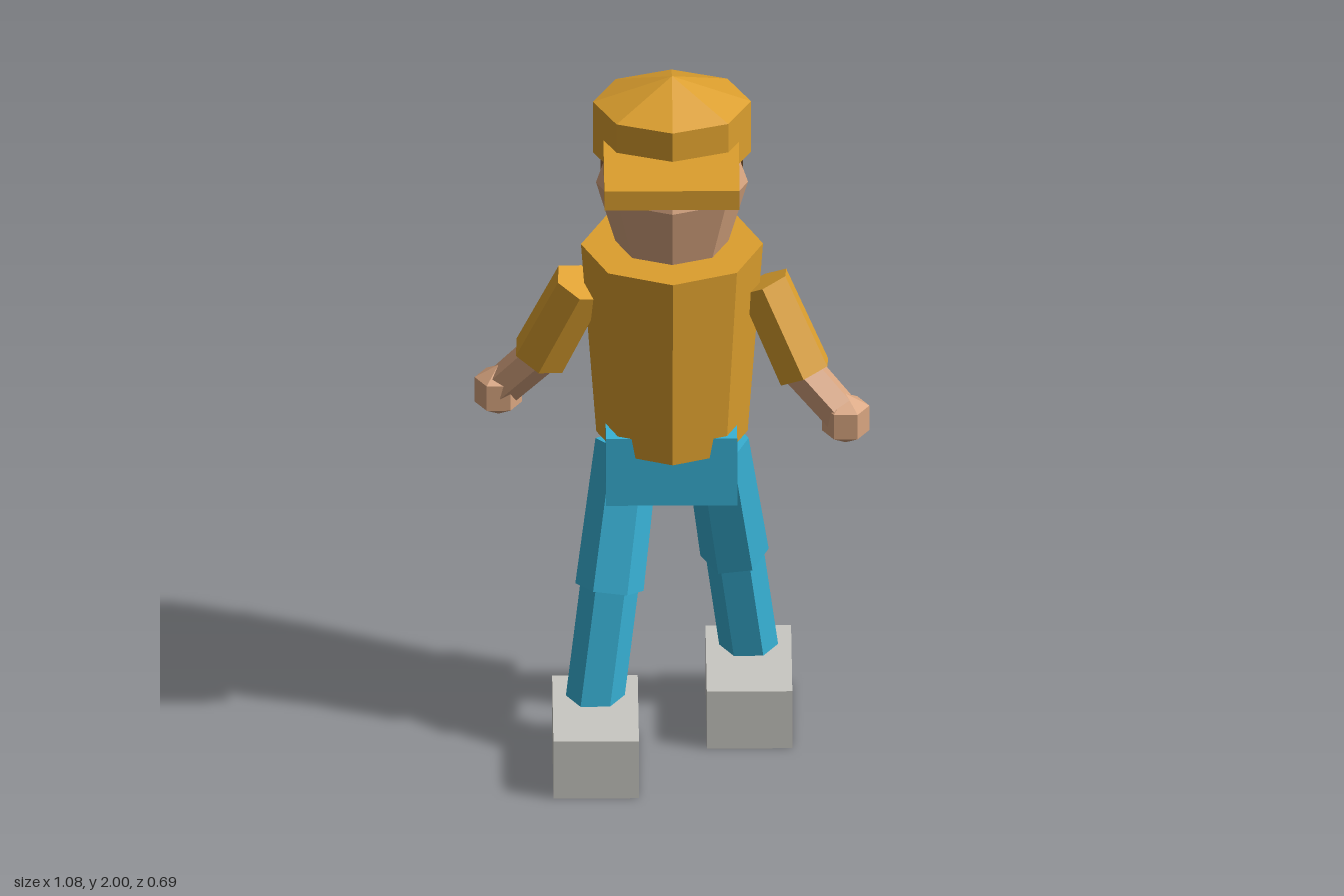
import * as THREE from 'three';

const CZ = -0.08; // depth of the body's axis

function material(name, color) {
  const m = new THREE.MeshStandardMaterial({ color });
  m.name = name;
  m.flatShading = true;
  return m;
}

export function createModel() {
  const model = new THREE.Group();
  model.name = 'walkingFigure';

  const ochre = material('ochre', 0xdc9f2e);
  const blue = material('blue', 0x38b2d6);
  const skin = material('skin', 0xd8a580);
  const brown = material('brown', 0x6f4a2b);
  const grey = material('lightGrey', 0xc9c8c2);

  function add(name, geometry, mat, x = 0, y = 0, z = 0) {
    const mesh = new THREE.Mesh(geometry, mat);
    mesh.name = name;
    mesh.position.set(x, y, z);
    model.add(mesh);
    return mesh;
  }

  // Box given by its lower and upper corners
  function box(name, mat, a, b) {
    const size = b.map((v, i) => v - a[i]);
    const mid = b.map((v, i) => (v + a[i]) / 2);
    return add(name, new THREE.BoxGeometry(...size), mat, ...mid);
  }

  // Six-sided limb running from point a down to point b
  function limb(name, mat, a, b, rTop, rBottom, turn) {
    const top = new THREE.Vector3(...a), bottom = new THREE.Vector3(...b);
    const axis = top.clone().sub(bottom);
    const geometry = new THREE.CylinderGeometry(rTop, rBottom, axis.length(), 6, 1, false, turn);
    const mid = top.add(bottom).multiplyScalar(0.5);
    const mesh = add(name, geometry, mat, mid.x, mid.y, mid.z);
    mesh.quaternion.setFromUnitVectors(new THREE.Vector3(0, 1, 0), axis.normalize());
  }

  // Eight-sided turned shape from [radius, height] pairs
  function turned(name, mat, profile, depth = 1) {
    const points = profile.map(([r, y]) => new THREE.Vector2(r, y));
    return add(name, new THREE.LatheGeometry(points, 8).scale(1, 1, depth), mat, 0, 0, CZ);
  }

  // Torso and hips
  turned('torso', ochre, [[0, 0.91], [0.207, 0.91], [0.249, 1.485], [0, 1.485]]);
  box('hips', blue, [-0.182, 0.765, -0.24], [0.177, 0.97, 0.085]);

  // Head and cap
  turned('head', skin, [[0, 1.48], [0.155, 1.495], [0.208, 1.675], [0.178, 1.765], [0, 1.8]], 0.95);
  turned('capCrown', ochre, [[0, 1.767], [0.216, 1.767], [0.216, 1.922], [0, 2]], 0.89);
  box('capBrim', ochre, [-0.188, 1.777, -0.05], [0.182, 1.835, 0.288]);

  // Hair wrapped round the back of the head
  const outline = [[0.195, 0.145], [0.158, 0.262], [0, 0.297], [-0.158, 0.262], [-0.195, 0.145]];
  const hairShape = new THREE.Shape(outline.map(([x, y]) => new THREE.Vector2(x, y)));
  const hair = new THREE.ExtrudeGeometry(hairShape, { depth: 0.235, bevelEnabled: false });
  hair.rotateX(-Math.PI / 2);
  add('hair', hair, brown, 0, 1.645, 0);

  // Arms and legs swing in opposite directions on the two sides
  const sides = [
    { name: 'left', s: 1, elbowZ: -0.02, handZ: 0.012, kneeZ: -0.18, ankleZ: -0.238, footZ: -0.346 },
    { name: 'right', s: -1, elbowZ: -0.125, handZ: -0.168, kneeZ: 0.025, ankleZ: 0.072, footZ: -0.05 },
  ];
  for (const { name, s, elbowZ, handZ, kneeZ, ankleZ, footZ } of sides) {
    const elbow = [s * 0.362, 1.12, elbowZ];
    const hand = [s * 0.474, 0.995, handZ];
    limb(name + 'Sleeve', ochre, [s * 0.25, 1.37, -0.075], elbow, 0.077, 0.08, 0);
    limb(name + 'Forearm', skin, [s * 0.35, 1.135, elbowZ], hand, 0.058, 0.055, 0);
    add(name + 'Hand', new THREE.SphereGeometry(0.075, 6, 3), skin, ...hand);

    const knee = [s * 0.172, 0.485, kneeZ];
    limb(name + 'Thigh', blue, [s * 0.122, 0.88, -0.075], knee, 0.088, 0.094, Math.PI / 2);
    limb(name + 'Shin', blue, [s * 0.168, 0.52, kneeZ + s * 0.008], [s * 0.214, 0.15, ankleZ],
      0.08, 0.08, Math.PI / 2);
    const footX = s * 0.211;
    box(name + 'Shoe', grey, [footX - 0.117, 0, footZ], [footX + 0.117, 0.175, footZ + 0.396]);
  }

  return model;
}
